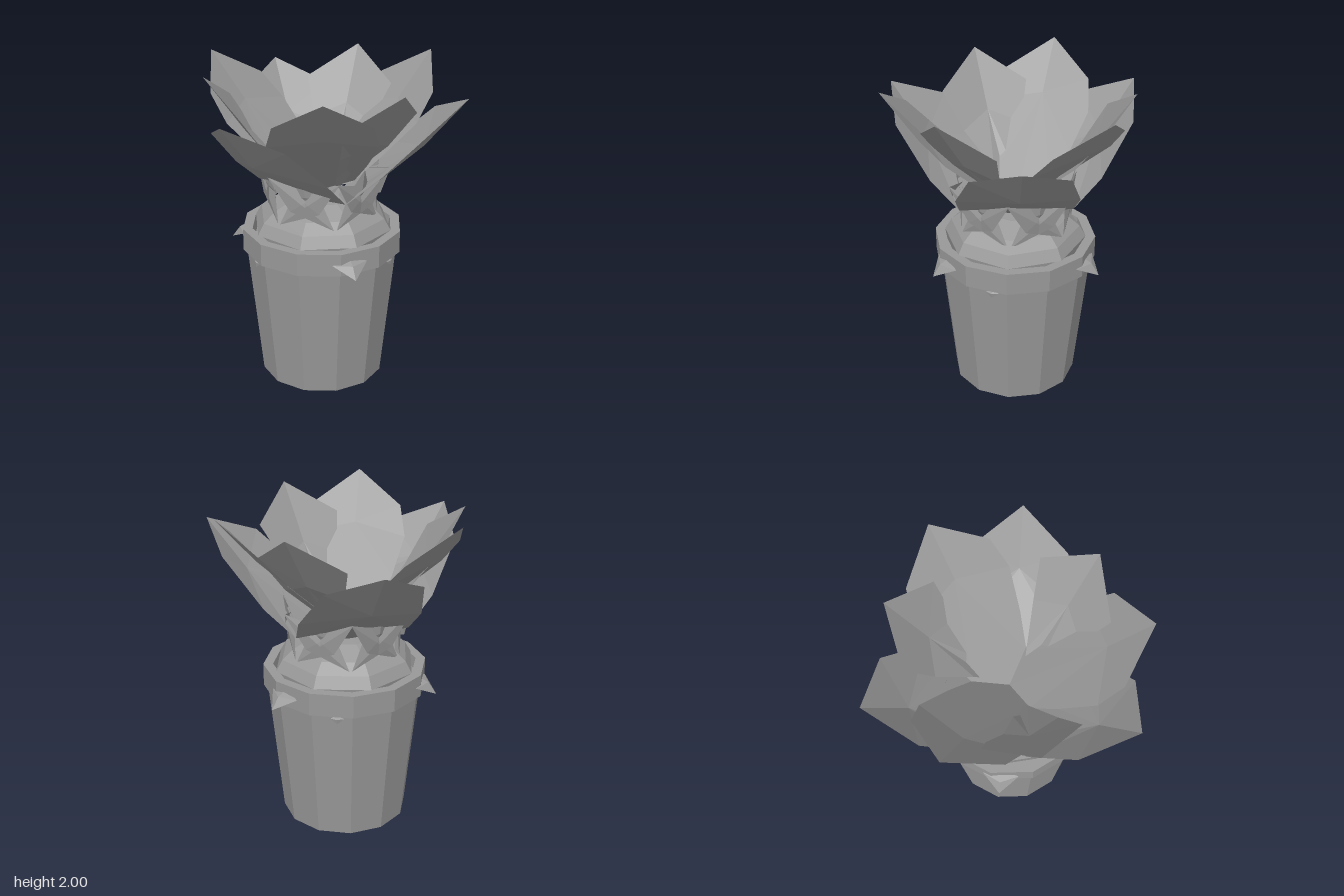
import * as THREE from 'three';

const grey = new THREE.MeshStandardMaterial({ color: 0x999999, flatShading: true, side: THREE.DoubleSide });
grey.name = 'stone grey';

// Faceted blade: triangles from a middle point to a closed outline.
// Points are [outward, sideways, height].
function fan(mid, outline) {
  const pos = outline.flatMap((p, i) =>
    [mid, p, outline[(i + 1) % outline.length]].flatMap(([u, v, y]) => [u, y, v]));
  const geo = new THREE.BufferGeometry();
  geo.setAttribute('position', new THREE.Float32BufferAttribute(pos, 3));
  geo.computeVertexNormals();
  return geo;
}

// Symmetric petal: one side is mirrored for the other
function petal(mid, base, side, tip) {
  return fan(mid, [base, ...side, tip, ...side.map(([u, v, y]) => [u, -v, y]).reverse()]);
}

// Repeats a part around the pot axis; 0 degrees is +x and 90 degrees is +z.
function ring(parent, name, geo, start, count) {
  for (let i = 0; i < count; i++) {
    const mesh = new THREE.Mesh(geo, grey);
    mesh.name = name;
    mesh.rotation.y = -THREE.MathUtils.degToRad(start + (i * 360) / count);
    parent.add(mesh);
  }
}

function lathe(parent, name, points, sides) {
  const geo = new THREE.LatheGeometry(points.map(([r, y]) => new THREE.Vector2(r, y)), sides);
  const mesh = new THREE.Mesh(geo, grey);
  mesh.name = name;
  parent.add(mesh);
}

export function createModel() {
  const model = new THREE.Group();
  model.name = 'pottedPlant';
  const plant = new THREE.Group();
  plant.name = 'plantAndPot';
  plant.position.set(-0.05, 0, -0.05);
  model.add(plant);

  // Tapered twelve-sided pot with a raised hollow rim
  lathe(plant, 'pot', [[0, 0], [0.39, 0], [0.475, 0.86]], 12);
  lathe(plant, 'rim', [[0.46, 0.86], [0.5, 0.86], [0.5, 1], [0.44, 1], [0.43, 0.93], [0, 0.93]], 12);

  // Rounded bulb the leaves grow from
  lathe(plant, 'bulb', [[0.43, 0.93], [0.44, 1.0], [0.4, 1.07], [0.33, 1.13], [0.2, 1.19], [0, 1.2]], 8);

  // Three rings of three broad cupped petals, each ring turned by 40 degrees
  ring(plant, 'outerPetal', petal([0.62, 0, 1.54], [0.1, 0, 1.19],
    [[0.2, 0.34, 1.27], [0.38, 0.36, 1.43], [0.66, 0.28, 1.7]], [0.87, 0, 1.84]), -8, 3);
  ring(plant, 'middlePetal', petal([0.55, 0, 1.72], [0, 0, 1.22],
    [[0.1, 0.19, 1.31], [0.27, 0.26, 1.47], [0.47, 0.32, 1.66], [0.61, 0.28, 1.82]], [0.79, 0, 2]), 72.5, 3);
  ring(plant, 'innerPetal', petal([0.47, 0, 1.64], [0.12, 0, 1.24],
    [[0.2, 0.06, 1.36], [0.38, 0.19, 1.56], [0.52, 0.28, 1.78]], [0.7, 0, 1.97]), 32.5, 3);

  // Crossing pointed leaflets around the neck
  for (const s of [1, -1]) {
    ring(plant, 'crossedLeaflet', fan([0.35, s * 0.02, 1.25],
      [[0.31, -s * 0.17, 1.09], [0.35, s * 0.09, 1.2], [0.37, s * 0.22, 1.41], [0.31, -s * 0.07, 1.31]]), 30, 6);
  }
  ring(plant, 'uprightLeaflet', petal([0.35, 0, 1.3], [0.29, 0, 1.17],
    [[0.31, 0.1, 1.27]], [0.37, 0, 1.45]), 30, 6);

  // Leaf tips poking out through the rim and just below it
  ring(plant, 'rimTip', petal([0.53, 0, 0.93], [0.46, 0, 0.96],
    [[0.48, 0.11, 0.93]], [0.58, 0, 0.86]), 53, 3);
  ring(plant, 'lowerTip', petal([0.48, 0, 0.84], [0.45, 0, 0.86],
    [[0.465, 0.04, 0.84]], [0.475, 0, 0.81]), 11, 3);

  return model;
}
